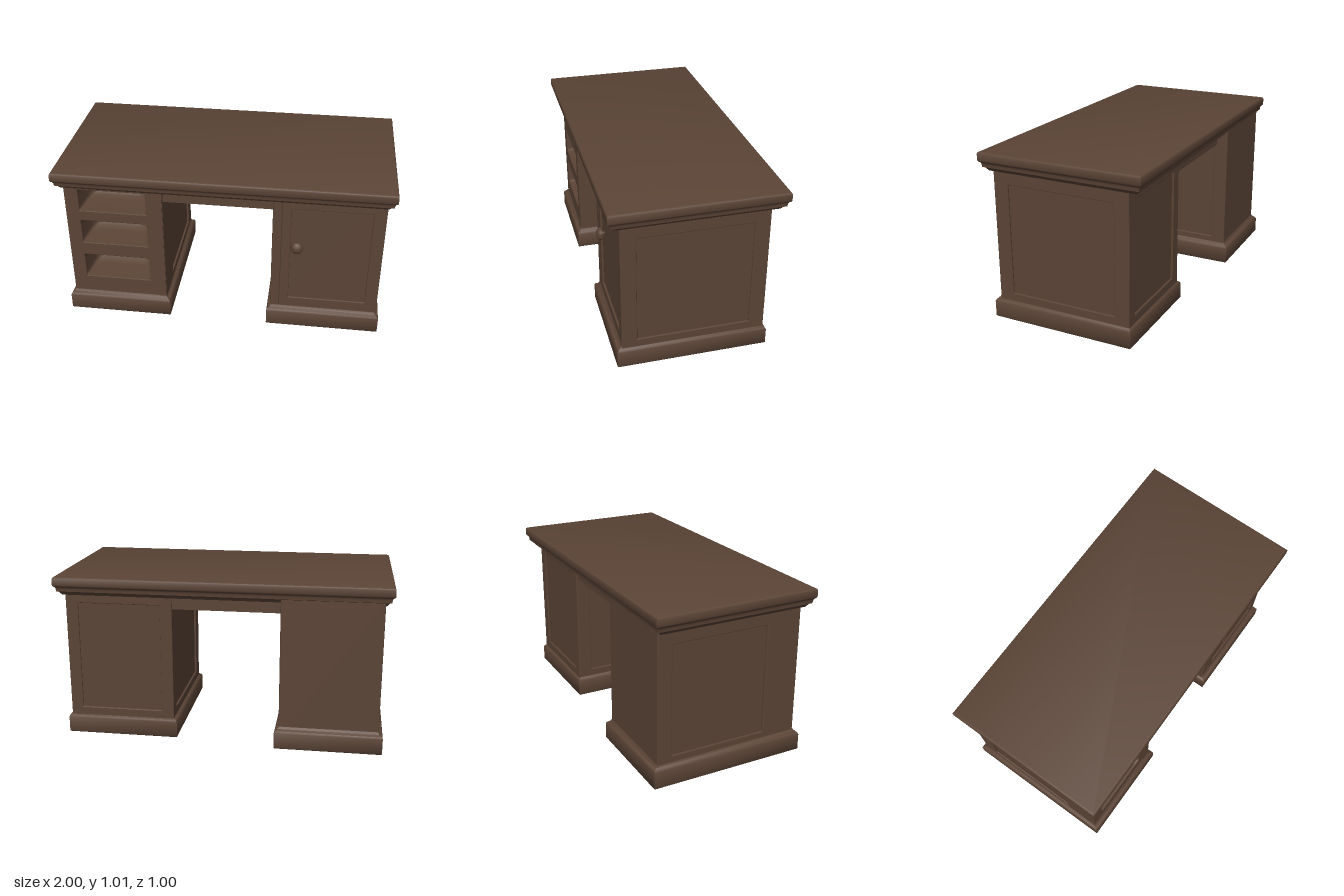
import * as THREE from 'three';
import { toCreasedNormals } from 'three/addons/utils/BufferGeometryUtils.js';

const wood = new THREE.MeshStandardMaterial({ color: 0x5b4436 });
wood.name = 'dark walnut';

function add(parent, name, geometry, x = 0, y = 0, z = 0, rotY = 0) {
  const mesh = new THREE.Mesh(geometry, wood);
  mesh.name = name;
  mesh.position.set(x, y, z);
  mesh.rotation.y = rotY;
  parent.add(mesh);
  return mesh;
}

function block(parent, name, x0, x1, y0, y1, z0, z1) {
  return add(parent, name, new THREE.BoxGeometry(x1 - x0, y1 - y0, z1 - z0),
    (x0 + x1) / 2, (y0 + y1) / 2, (z0 + z1) / 2);
}

// Rectangular moulding: each profile entry is [inset, y], bottom to top, capped at both ends
function moulding(x0, x1, z0, z1, profile) {
  const pos = [];
  const rings = profile.map(([i, y]) => [
    [x0 + i, y, z1 - i], [x1 - i, y, z1 - i], [x1 - i, y, z0 + i], [x0 + i, y, z0 + i]]);
  const quad = (a, b, c, d) => pos.push(...a, ...b, ...c, ...a, ...c, ...d);
  for (let r = 0; r < rings.length - 1; r++) {
    for (let k = 0; k < 4; k++) {
      const n = (k + 1) % 4;
      quad(rings[r][k], rings[r][n], rings[r + 1][n], rings[r + 1][k]);
    }
  }
  const [a, b, c, d] = rings[0];
  quad(d, c, b, a);
  quad(...rings[rings.length - 1]);
  const g = new THREE.BufferGeometry();
  g.setAttribute('position', new THREE.Float32BufferAttribute(pos, 3));
  return toCreasedNormals(g, 0.9);
}

function rect(ShapeType, x0, x1, y0, y1) {
  const s = new ShapeType();
  s.moveTo(x0, y0).lineTo(x1, y0).lineTo(x1, y1).lineTo(x0, y1).closePath();
  return s;
}

// Board with rectangular openings and softly bevelled edges, front at local z = 0
function board(x0, x1, y0, y1, holes, depth) {
  const s = rect(THREE.Shape, x0, x1, y0, y1);
  s.holes = holes.map(h => rect(THREE.Path, ...h));
  const bevel = 0.005;
  const g = new THREE.ExtrudeGeometry(s, {
    depth: depth - 2 * bevel, bevelSize: bevel, bevelThickness: bevel,
    bevelOffset: -bevel, bevelSegments: 2 });
  return g.translate(0, 0, bevel - depth);
}

// Scooped-out drawer recess
function scoop(x0, x1, y0, y1, depth) {
  const g = new THREE.PlaneGeometry(2, 2, 20, 14);
  const p = g.attributes.position;
  for (let i = 0; i < p.count; i++) {
    const u = p.getX(i), v = p.getY(i);
    p.setXYZ(i, (x0 + x1) / 2 + u * (x1 - x0) / 2, (y0 + y1) / 2 + v * (y1 - y0) / 2,
      -depth * (1 - u ** 12) * (1 - v ** 8));
  }
  g.computeVertexNormals();
  return g;
}

const TOP = 0.93, FRONT = 0.43, SKIN = 0.014;

// Core, plinth and panelled sides shared by both pedestals
function pedestal(name, x0, x1, back, coreFront, plinth) {
  const g = new THREE.Group();
  g.name = name;
  block(g, 'core', x0 + SKIN, x1 - SKIN, 0.03, TOP, back + SKIN, coreFront);
  add(g, 'plinth', moulding(plinth[0], plinth[1], plinth[2], plinth[3], [
    [0.035, 0.015], [0.03, 0], [0.005, 0], [0, 0.006], [0, 0.1], [0.006, 0.112],
    [0.02, 0.122], [0.027, 0.135], [0.04, 0.135]]));
  const mid = (FRONT + back) / 2, half = (FRONT - back) / 2;
  for (const s of [-1, 1]) {
    const frame = board(-half, half, 0.05, TOP, [[-half + 0.09, half - 0.09, 0.17, 0.83]], SKIN);
    add(g, 'panelledSide', frame, s > 0 ? x1 : x0, 0, mid, s * Math.PI / 2);
  }
  return g;
}

export function createModel() {
  const desk = new THREE.Group();
  desk.name = 'desk';

  // Desk top with a stepped moulding underneath
  add(desk, 'deskTop', moulding(-1, 1, -0.5, 0.5, [
    [0.045, 0.9], [0.03, 0.92], [0.018, 0.925], [0.016, 0.942], [0.012, 0.952], [0.004, 0.958],
    [0, 0.966], [0, 1.003], [0.004, 1.011], [0.012, 1.015]]));

  // Drawer pedestal
  const drawers = pedestal('drawerPedestal', -0.95, -0.355, -0.47, 0.22,
    [-0.975, -0.33, -0.5, 0.46]);
  const openings = [[0.73, 0.875], [0.5, 0.66], [0.245, 0.41]].map(y => [-0.865, -0.455, ...y]);
  add(drawers, 'drawerFront', board(-0.95, -0.355, 0.05, TOP, openings, 0.215), 0, 0, FRONT);
  for (const o of openings) add(drawers, 'drawerRecess', scoop(...o, 0.18), 0, 0, FRONT - 0.006);
  block(drawers, 'frontStile', -0.415, -0.358, 0.1, TOP, FRONT - 0.01, FRONT + 0.004);
  add(drawers, 'plainBack', board(0.355, 0.95, 0.05, TOP, [], SKIN + 0.002), 0, 0, -0.47, Math.PI);
  desk.add(drawers);

  // Door pedestal
  const cupboard = pedestal('doorPedestal', 0.3, 0.955, -0.41, FRONT - SKIN,
    [0.28, 0.972, -0.425, 0.46]);
  add(cupboard, 'doorStile', board(0.3, 0.355, 0.05, TOP, [], SKIN), 0, 0, FRONT);
  add(cupboard, 'door', board(0.355, 0.955, 0.05, TOP, [[0.41, 0.88, 0.2, 0.84]], SKIN), 0, 0, FRONT);
  add(cupboard, 'panelledBack', board(-0.955, -0.3, 0.05, TOP, [[-0.88, -0.375, 0.17, 0.84]], SKIN),
    0, 0, -0.41, Math.PI);

  // Door knob
  const knobProfile = [[0.014, 0], [0.014, 0.016], [0.036, 0.018], [0.038, 0.024], [0.033, 0.036],
    [0.02, 0.045], [0, 0.049]].map(p => new THREE.Vector2(...p));
  const knob = add(cupboard, 'knob', toCreasedNormals(new THREE.LatheGeometry(knobProfile, 24), 0.9),
    0.45, 0.577, FRONT - SKIN);
  knob.rotation.x = Math.PI / 2;
  desk.add(cupboard);

  // Apron bridging the knee hole
  block(desk, 'kneeHoleApron', -0.36, 0.305, 0.82, TOP, -0.4, 0.41);

  return desk;
}
